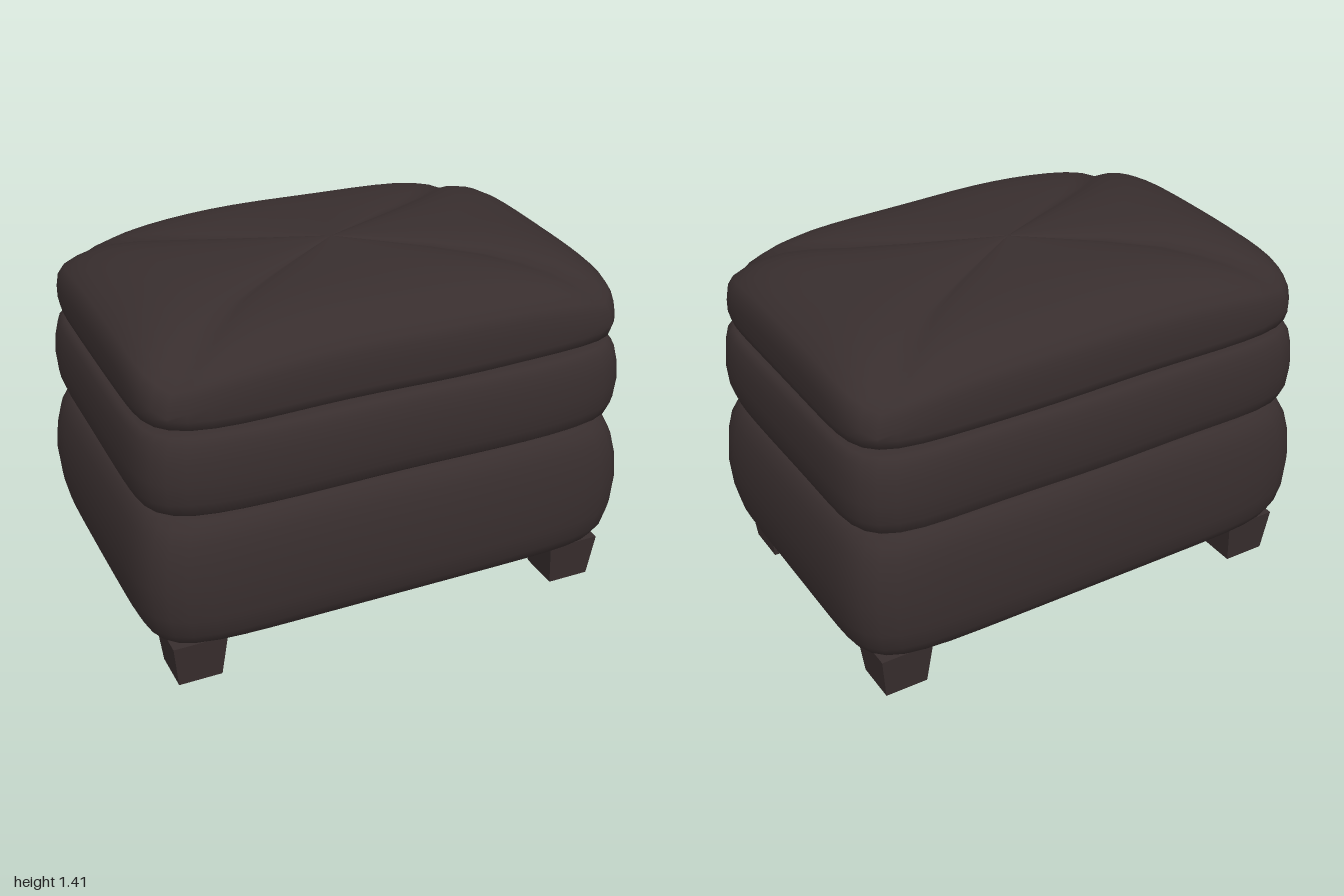
import * as THREE from 'three';

// Soft upholstered layer: rings of [y, halfWidth, halfDepth], with rounded bulging sides
function cushion(rings, droop = 0, phase = 0) {
  const perSide = 18, n = perSide * 4, power = 8;
  const pos = [], index = [];
  for (const [y, hx, hz] of rings) {
    for (let i = 0; i < n; i++) {
      // walk round a unit square, then pull it onto a superellipse
      const side = Math.floor(i / perSide), t = (i % perSide) / perSide * 2 - 1;
      const [u, v] = [[1, t], [-t, 1], [-1, -t], [t, -1]][side];
      const r = Math.pow(Math.abs(u) ** power + Math.abs(v) ** power, -1 / power);
      const x = u * r * hx, z = v * r * hz;
      // corners sag on the padded top, and the leather ripples a little
      const corner = Math.abs(u * v) ** 3;
      const sag = y > 1.15 ? droop * corner * Math.min(1, hx / 0.9) : 0;
      const ripple = hx > 0.5 ? 0.004 * Math.sin(x * 7 + phase) * Math.cos(z * 6 + phase) : 0;
      pos.push(x, y - sag + (y > 0.2 ? ripple : 0), z);
    }
  }
  for (let k = 0; k < rings.length - 1; k++) {
    for (let i = 0; i < n; i++) {
      const a = k * n + i, b = k * n + (i + 1) % n;
      index.push(a, a + n, b, b, a + n, b + n);
    }
  }
  const g = new THREE.BufferGeometry();
  g.setAttribute('position', new THREE.Float32BufferAttribute(pos, 3));
  g.setIndex(index);
  g.computeVertexNormals();
  return g;
}

export function createModel() {
  const group = new THREE.Group();
  const leather = new THREE.MeshStandardMaterial({ color: 0x382e2e });
  leather.name = 'dark brown leather';
  const lining = new THREE.MeshStandardMaterial({ color: 0x54402f });
  lining.name = 'brown lining';

  const add = (name, geometry, material) => {
    const mesh = new THREE.Mesh(geometry, material);
    mesh.name = name;
    group.add(mesh);
    return mesh;
  };

  // Three stacked layers
  add('base', cushion([
    [0.178, 0.001, 0.001], [0.178, 0.88, 0.58], [0.178, 0.92, 0.61], [0.2, 0.95, 0.645],
    [0.25, 0.973, 0.672], [0.33, 0.99, 0.69], [0.45, 1.0, 0.695], [0.56, 0.99, 0.69],
    [0.64, 0.973, 0.675], [0.69, 0.95, 0.655], [0.712, 0.925, 0.63], [0.72, 0.88, 0.59],
    [0.72, 0.001, 0.001],
  ]), leather);
  add('middleCushion', cushion([
    [0.72, 0.001, 0.001], [0.72, 0.88, 0.58], [0.73, 0.93, 0.63], [0.75, 0.95, 0.655],
    [0.8, 0.967, 0.672], [0.88, 0.973, 0.68], [0.96, 0.967, 0.676], [1.02, 0.955, 0.665],
    [1.048, 0.935, 0.645], [1.06, 0.89, 0.6], [1.06, 0.001, 0.001],
  ], 0, 1.5), leather);
  add('topCushion', cushion([
    [1.06, 0.001, 0.001], [1.06, 0.86, 0.57], [1.068, 0.92, 0.625], [1.085, 0.94, 0.652],
    [1.12, 0.948, 0.66], [1.2, 0.948, 0.66], [1.25, 0.94, 0.655], [1.285, 0.92, 0.642],
    [1.32, 0.875, 0.61], [1.35, 0.82, 0.57], [1.375, 0.75, 0.51], [1.393, 0.66, 0.43],
    [1.403, 0.55, 0.33], [1.407, 0.35, 0.2], [1.408, 0.001, 0.001],
  ], 0.07, 3), leather);

  // Panel closing the underside
  const panel = add('undersideLining', new THREE.BoxGeometry(1.77, 0.006, 1.17), lining);
  panel.position.y = 0.174;

  // Four tapered square legs
  const leg = new THREE.CylinderGeometry(0.105 * Math.SQRT2, 0.085 * Math.SQRT2, 0.18, 4)
    .rotateY(Math.PI / 4).toNonIndexed();
  leg.computeVertexNormals();
  for (const [sx, sz, name] of [[1, 1, 'frontLeftLeg'], [-1, 1, 'frontRightLeg'],
    [1, -1, 'backLeftLeg'], [-1, -1, 'backRightLeg']]) {
    add(name, leg, leather).position.set(sx * 0.79, 0.09, sz * 0.497);
  }
  return group;
}
